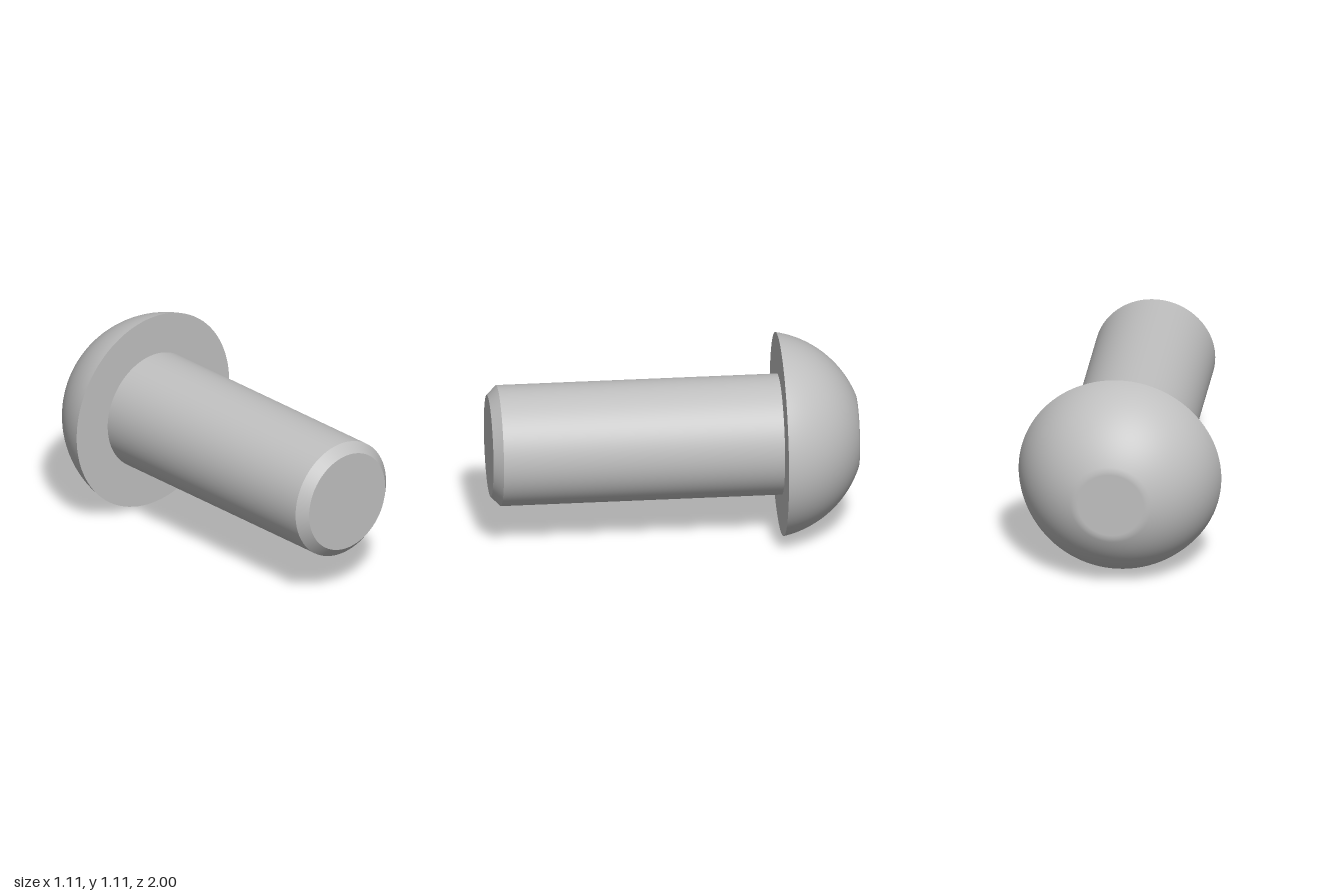
import * as THREE from 'three';

const HEAD_R = 0.553, SHAFT_R = 0.328, TIP_R = 0.276, FLAT_R = 0.2;
const HEAD_Z = -0.58, CHAMFER_Z = 0.948;

export function createModel() {
  const model = new THREE.Group();
  model.name = 'roundHeadPin';
  const steel = new THREE.MeshStandardMaterial({ color: 0xc0c0c0 });
  steel.name = 'steel grey';

  // Turns a profile of [radius, z] points around the z axis
  function turned(name, profile, parent) {
    const points = profile.map(([r, z]) => new THREE.Vector2(r, z));
    const geometry = new THREE.LatheGeometry(points, 96).rotateX(Math.PI / 2);
    const mesh = new THREE.Mesh(geometry, steel);
    mesh.name = name;
    parent.add(mesh);
  }

  // Head: spherical dome with a flattened crown, and a flat underside
  const head = new THREE.Group();
  head.name = 'head';
  const span = HEAD_Z + 1;
  const offset = (HEAD_R ** 2 - FLAT_R ** 2 - span ** 2) / (2 * span);
  const centreZ = HEAD_Z - offset * -1;
  const radius = Math.hypot(HEAD_R, offset);
  const start = Math.asin(FLAT_R / radius);
  const end = Math.acos((centreZ - HEAD_Z) / radius);
  const dome = [[0, -1], [FLAT_R - 0.02, -1]];
  for (let i = 0; i <= 24; i++) {
    const a = start + (end - start) * i / 24;
    dome.push([radius * Math.sin(a), centreZ - radius * Math.cos(a)]);
  }
  turned('dome', dome, head);
  turned('headUnderside', [[HEAD_R, HEAD_Z], [0, HEAD_Z]], head);

  // Shaft: straight barrel, chamfered tip and flat end face
  const shaft = new THREE.Group();
  shaft.name = 'shaft';
  turned('barrel', [[SHAFT_R, HEAD_Z], [SHAFT_R, CHAMFER_Z]], shaft);
  turned('chamfer', [[SHAFT_R, CHAMFER_Z], [TIP_R, 1]], shaft);
  turned('endFace', [[TIP_R, 1], [0, 1]], shaft);

  model.add(head, shaft);
  model.position.y = HEAD_R;
  return model;
}
